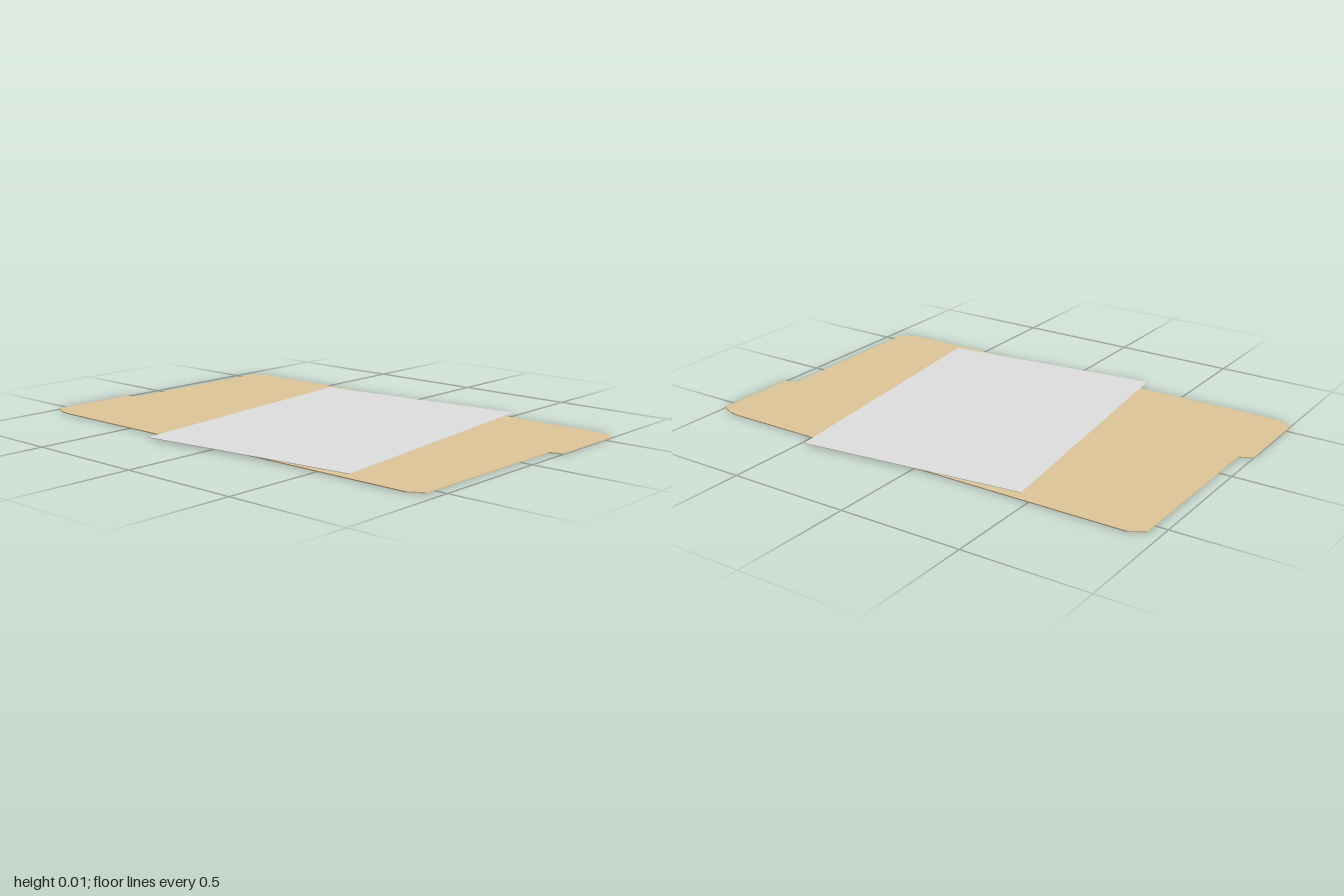
import * as THREE from 'three';

// Flat slab lying on the ground plane, outlined by [x, z] points
function slab(name, points, bottom, thickness, material) {
  const shape = new THREE.Shape(points.map(([x, z]) => new THREE.Vector2(x, -z)));
  const geometry = new THREE.ExtrudeGeometry(shape, { depth: thickness, bevelEnabled: false });
  geometry.rotateX(-Math.PI / 2);
  geometry.translate(0, bottom, 0);
  const mesh = new THREE.Mesh(geometry, material);
  mesh.name = name;
  return mesh;
}

export function createModel() {
  const model = new THREE.Group();
  model.name = 'openFolderWithPaper';

  const manila = new THREE.MeshStandardMaterial({ color: 0xe0c799 });
  manila.name = 'manila card';
  const white = new THREE.MeshStandardMaterial({ color: 0xe0e0e0 });
  white.name = 'paper';

  // Opened folder: clipped corners and one tab at each end
  const half = [
    [-0.95, 0.17], [-0.95, -0.55], [-0.89, -0.585],
    [0.9, -0.585], [0.95, -0.577], [1, -0.55], [1, -0.195], [0.95, -0.18],
  ];
  const outline = [...half, ...half.slice(1, -1).map(([x, z]) => [-x, -z])];
  // Shift the outline slightly back so the tabs sit off centre
  model.add(slab('folder', outline.map(([x, z]) => [x, z - 0.005]), 0, 0.004, manila));

  // Loose sheet lying askew on the folder
  const sheet = [[-0.445, -0.55], [0.48, -0.655], [0.62, 0.545], [-0.305, 0.65]];
  model.add(slab('paperSheet', sheet, 0.006, 0.002, white));

  return model;
}
